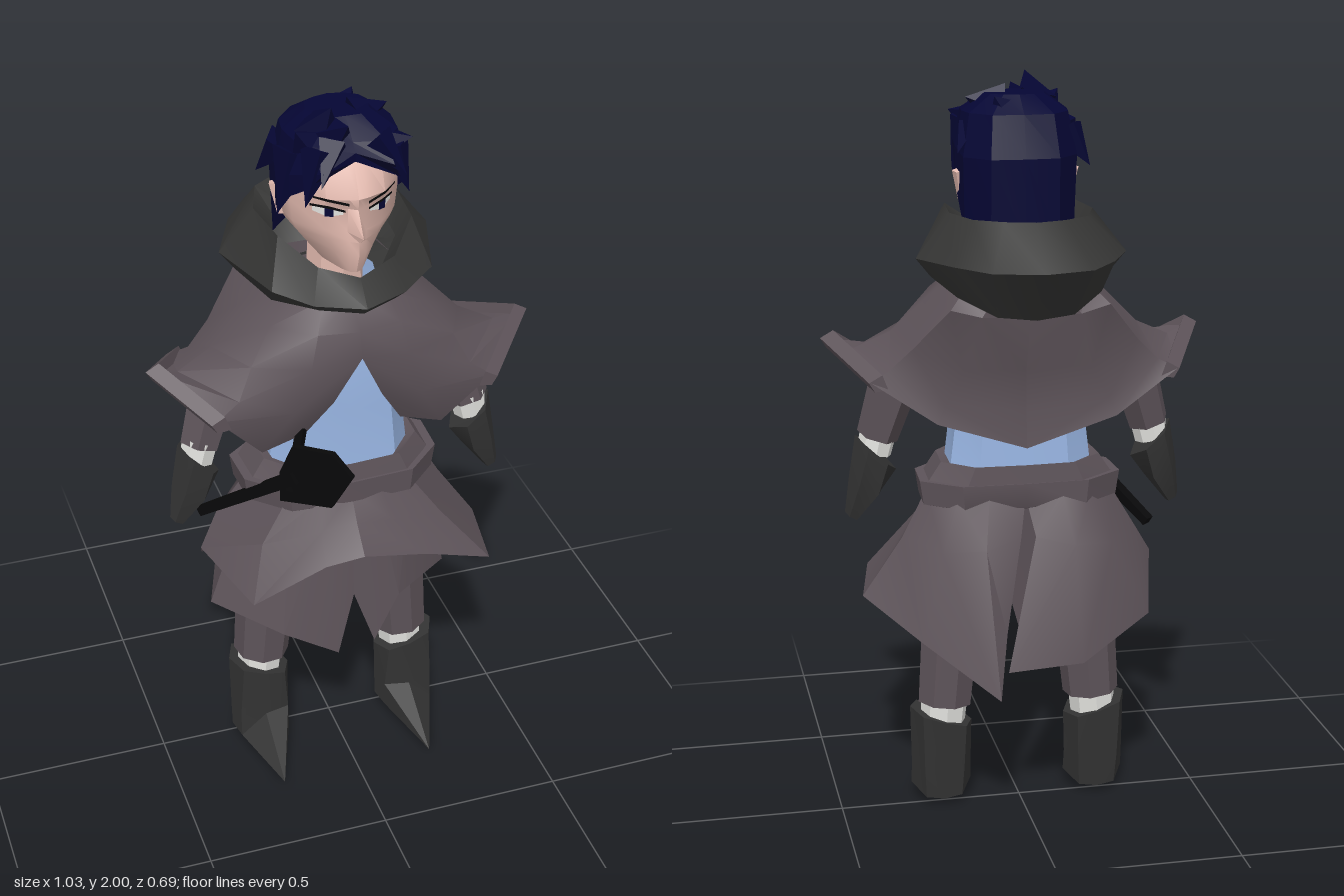
import * as THREE from 'three';
import { toCreasedNormals } from 'three/addons/utils/BufferGeometryUtils.js';

const mat = (name, color) => {
  const m = new THREE.MeshStandardMaterial({ color, side: THREE.DoubleSide });
  m.name = name;
  return m;
};

// Full loop from a half loop running front centre -> left side -> back centre
const sym = (half) => [...half, ...half.slice(1, -1).reverse().map(([x, y, z]) => [-x, y, z])];
// Half loop at one height from [x, z] pairs
const level = (y, pts) => pts.map(([x, z]) => [x, y, z]);
const flip = (pts) => pts.map(([x, y, z]) => [-x, y, z]);

// Skin over rows of points, top row first
function loft(rows, { closed = true, capTop = false, capBottom = false, crease = 0.55 } = {}) {
  const n = rows[0].length, pos = [];
  const tri = (a, b, c) => pos.push(...a, ...b, ...c);
  for (let r = 0; r < rows.length - 1; r++) {
    for (let i = 0; i < (closed ? n : n - 1); i++) {
      const j = (i + 1) % n;
      tri(rows[r][i], rows[r + 1][i], rows[r + 1][j]);
      tri(rows[r][i], rows[r + 1][j], rows[r][j]);
    }
  }
  const cap = (row, up) => {
    const c = [0, 1, 2].map((k) => row.reduce((s, p) => s + p[k], 0) / n);
    row.forEach((p, i) => {
      const q = row[(i + 1) % n];
      if (up) tri(c, p, q); else tri(c, q, p);
    });
  };
  if (capTop) cap(rows[0], true);
  if (capBottom) cap(rows[rows.length - 1], false);
  const g = new THREE.BufferGeometry();
  g.setAttribute('position', new THREE.Float32BufferAttribute(pos, 3));
  g.computeVertexNormals();
  return toCreasedNormals(g, crease);
}

// Tapered prism from p to q
function limb(p, q, r1, r2, sides = 6) {
  const a = new THREE.Vector3(...p), b = new THREE.Vector3(...q);
  const d = b.clone().sub(a);
  const g = new THREE.CylinderGeometry(r2, r1, d.length(), sides);
  g.applyQuaternion(new THREE.Quaternion().setFromUnitVectors(new THREE.Vector3(0, 1, 0), d.normalize()));
  g.translate(...a.add(b).multiplyScalar(0.5).toArray());
  return toCreasedNormals(g, 0.5);
}

export function createModel() {
  const root = new THREE.Group();
  root.name = 'cloakedFigure';
  const cloth = mat('greyCloth', 0x5d5359), fur = mat('darkFur', 0x363635), leather = mat('darkLeather', 0x333333);
  const shirt = mat('blueShirt', 0x9bb8e6), wrap = mat('paleWrap', 0xe4e4e0), skin = mat('skin', 0xe4bbb0);
  const hair = mat('navyHair', 0x050634), black = mat('black', 0x080809);
  const add = (name, geo, m) => {
    const mesh = new THREE.Mesh(geo, m);
    mesh.name = name;
    root.add(mesh);
  };

  // Head, with nose ridge, brow and chin
  const skull = [[0.14, 0.12], [0.15, 0.04], [0.1, -0.04], [0, -0.06]];
  const jaw = (w) => skull.map(([x, z]) => [x * w, z]);
  add('head', loft([
    level(1.92, [[0, 0.13], [0.02, 0.13], [0.06, 0.12], [0.08, 0.1], [0.09, 0.05], [0.06, 0], [0, -0.02]]),
    level(1.87, [[0, 0.19], [0.022, 0.19], [0.075, 0.175], ...jaw(0.94)]),
    level(1.78, [[0, 0.235], [0.022, 0.231], [0.075, 0.21], ...skull]),
    level(1.75, [[0, 0.23], [0.022, 0.215], [0.075, 0.195], ...skull]),
    level(1.69, [[0, 0.272], [0.024, 0.22], [0.07, 0.197], ...jaw(0.95)]),
    level(1.665, [[0, 0.24], [0.022, 0.224], [0.06, 0.195], ...jaw(0.87)]),
    level(1.63, [[0, 0.24], [0.022, 0.228], [0.05, 0.195], ...jaw(0.7)]),
    level(1.575, [[0, 0.22], [0.015, 0.213], [0.03, 0.19], ...jaw(0.4)]),
  ].map(sym), { capTop: true, capBottom: true, crease: 0.7 }), skin);
  add('neck', limb([0, 1.4, 0.04], [0, 1.64, 0.05], 0.08, 0.07, 8), skin);

  // Eyes, lids, brows and ears
  for (const s of [1, -1]) {
    const strip = (name, top, bottom, m) =>
      add(name, loft([top, bottom].map((r) => r.map(([x, y, z]) => [x * s, y, z])), { closed: false }), m);
    strip('eyeWhite', [[0.034, 1.745, 0.218], [0.07, 1.758, 0.205], [0.1, 1.754, 0.176]],
      [[0.034, 1.738, 0.218], [0.07, 1.731, 0.204], [0.1, 1.74, 0.175]], wrap);
    strip('iris', [[0.058, 1.757, 0.214], [0.078, 1.757, 0.204]], [[0.058, 1.733, 0.213], [0.078, 1.733, 0.203]], hair);
    strip('eyelid', [[0.03, 1.75, 0.222], [0.07, 1.763, 0.211], [0.106, 1.76, 0.175]],
      [[0.03, 1.744, 0.222], [0.07, 1.756, 0.211], [0.106, 1.754, 0.175]], black);
    strip('brow', [[0.025, 1.774, 0.236], [0.075, 1.785, 0.216], [0.115, 1.783, 0.17]],
      [[0.025, 1.767, 0.236], [0.075, 1.778, 0.216], [0.115, 1.779, 0.17]], black);
    add('ear', limb([s * 0.14, 1.68, 0.05], [s * 0.15, 1.76, 0.035], 0.012, 0.02, 5), skin);
  }

  // Hair cap and loose locks
  add('hairCap', loft([
    level(1.955, [[0, 0.13], [0.04, 0.13], [0.07, 0.1], [0.08, 0.06], [0.07, 0.02], [0.04, 0], [0, -0.01]]),
    level(1.91, [[0, 0.185], [0.08, 0.2], [0.13, 0.14], [0.14, 0.06], [0.13, 0], [0.08, -0.06], [0, -0.07]]),
    [[0, 1.89, 0.205], [0.09, 1.86, 0.235], [0.15, 1.83, 0.15], [0.158, 1.82, 0.06], [0.15, 1.8, -0.02], [0.09, 1.8, -0.09], [0, 1.8, -0.095]],
    [[0, 1.868, 0.205], [0.115, 1.81, 0.2], [0.155, 1.76, 0.13], [0.155, 1.7, 0.05], [0.145, 1.6, -0.01], [0.09, 1.59, -0.085], [0, 1.59, -0.09]],
  ].map(sym), { capTop: true, crease: 0.2 }), hair);
  [
    [[-0.07, 1.92, 0.12], [-0.05, 2, 0.17], 0.06], [[-0.09, 1.89, 0.14], [-0.14, 1.95, 0.17], 0.06],
    [[0.04, 1.92, 0.08], [0.13, 1.945, 0.06], 0.06], [[0.09, 1.88, 0.14], [0.155, 1.9, 0.18], 0.05],
    [[-0.04, 1.92, 0.15], [-0.02, 1.965, 0.21], 0.05], [[-0.08, 1.9, 0.18], [-0.13, 1.77, 0.215], 0.05],
    [[-0.05, 1.91, 0.18], [-0.1, 1.83, 0.25], 0.045], [[0.06, 1.91, 0.18], [0.12, 1.83, 0.24], 0.045],
    [[0.11, 1.88, 0.16], [0.145, 1.76, 0.19], 0.045], [[-0.12, 1.87, 0.11], [-0.175, 1.73, 0.14], 0.06],
    [[0.13, 1.82, 0.07], [0.15, 1.69, 0.08], 0.035], [[-0.13, 1.82, 0.07], [-0.16, 1.69, 0.08], 0.04],
    [[-0.13, 1.86, 0.02], [-0.185, 1.77, -0.02], 0.05], [[0.11, 1.86, 0.03], [0.165, 1.81, -0.02], 0.05],
    [[0.03, 1.9, 0], [0.07, 1.955, -0.03], 0.06],
  ].forEach(([p, q, r]) => add('hairLock', limb(p, q, r, 0, 4), hair));

  // Thick fur collar, drooping at the back
  add('furCollar', loft([
    [[0, 1.53, 0.2], [0.08, 1.56, 0.18], [0.14, 1.6, 0.11], [0.15, 1.6, 0], [0.12, 1.6, -0.07], [0.06, 1.6, -0.09], [0, 1.6, -0.1]],
    [[0, 1.575, 0.25], [0.1, 1.605, 0.22], [0.175, 1.66, 0.13], [0.19, 1.66, -0.03], [0.15, 1.66, -0.15], [0.08, 1.66, -0.2], [0, 1.66, -0.225]],
    [[0, 1.515, 0.305], [0.12, 1.515, 0.25], [0.21, 1.54, 0.19], [0.28, 1.545, -0.04], [0.21, 1.55, -0.2], [0.13, 1.55, -0.31], [0, 1.55, -0.345]],
    [[0, 1.49, 0.28], [0.1, 1.49, 0.23], [0.2, 1.495, 0.15], [0.24, 1.495, -0.03], [0.19, 1.46, -0.14], [0.1, 1.42, -0.22], [0, 1.41, -0.23]],
    level(1.47, [[0, 0.15], [0.06, 0.14], [0.1, 0.1], [0.12, 0], [0.1, -0.06], [0.06, -0.09], [0, -0.1]]),
  ].map(sym)), fur);

  // Shoulder cape, open at the front, with flared shoulders
  const capeRows = [
    [[0, 1.5, 0.2], [0.08, 1.5, 0.2], [0.15, 1.49, 0.12], [0.17, 1.49, 0], [0.15, 1.49, -0.1], [0.08, 1.48, -0.15], [0, 1.47, -0.17]],
    [[0, 1.42, 0.25], [0.11, 1.43, 0.25], [0.21, 1.43, 0.17], [0.24, 1.43, 0.03], [0.21, 1.43, -0.16], [0.13, 1.41, -0.17], [0, 1.4, -0.15]],
    [[0, 1.355, 0.27], [0.13, 1.34, 0.26], [0.27, 1.34, 0.2], [0.335, 1.335, 0.06], [0.3, 1.32, -0.1], [0.17, 1.26, -0.12], [0, 1.25, -0.1]],
    [[0.065, 1.22, 0.24], [0.17, 1.21, 0.245], [0.31, 1.26, 0.225], [0.43, 1.29, 0.08], [0.36, 1.26, -0.08], [0.22, 1.17, -0.115], [0, 1.14, -0.1]],
    [[0.13, 1.115, 0.2], [0.245, 1.08, 0.2], [0.37, 1.215, 0.23], [0.5, 1.315, 0.1], [0.41, 1.235, -0.1], [0.24, 1.12, -0.12], [0, 1.04, -0.11]],
  ];
  add('leftCape', loft(capeRows, { closed: false, crease: 0.7 }), cloth);
  add('rightCape', loft(capeRows.map(flip), { closed: false, crease: 0.7 }), cloth);

  // Shoulder rims, arms and legs, mirrored
  for (const s of [1, -1]) {
    const P = (x, y, z) => [x * s, y, z];
    add('shoulderRim', loft([[0.385, 1.21, 0.235], [0.517, 1.315, 0.1], [0.415, 1.235, -0.1]].map(([x, y, z]) =>
      [P(x, y, z), P(x - 0.035, y + 0.02, z), P(x - 0.05, y - 0.02, z), P(x - 0.015, y - 0.025, z)]),
    { capTop: true, capBottom: true }), cloth);
    add('sleeve', limb(P(0.305, 1.28, 0.035), P(0.375, 1.05, 0.06), 0.072, 0.056), cloth);
    add('wristWrap', limb(P(0.37, 1.07, 0.06), P(0.385, 1.005, 0.06), 0.05, 0.047, 8), wrap);
    add('gauntlet', loft([
      [[0.325, 0.955, 0.06], [0.355, 0.985, 0.118], [0.405, 1.03, 0.118], [0.435, 1.055, 0.06], [0.405, 1.03, 0], [0.355, 0.985, 0]],
      [[0.365, 0.9, 0.06], [0.38, 0.9, 0.11], [0.43, 0.93, 0.11], [0.455, 0.93, 0.06], [0.43, 0.93, 0.01], [0.38, 0.9, 0.01]],
      [[0.43, 0.82, 0.07], [0.435, 0.82, 0.085], [0.455, 0.83, 0.085], [0.465, 0.84, 0.07], [0.455, 0.83, 0.05], [0.435, 0.82, 0.05]],
    ].map((r) => r.map((p) => P(...p))), { capTop: true, capBottom: true }), leather);

    add('trouserLeg', limb(P(0.16, 0.86, 0.02), P(0.207, 0.295, 0.015), 0.095, 0.077, 8), cloth);
    add('ankleWrap', limb(P(0.208, 0.31, 0.012), P(0.213, 0.235, 0.012), 0.066, 0.062, 8), wrap);
    const boot = (rows) => rows.map((h) => sym(h).map(([x, y, z]) => P(0.217 + x, y + (y > 0.2 ? x * 0.3 : 0), z)));
    add('boot', loft(boot([
      level(0.255, [[0, 0.09], [0.06, 0.08], [0.086, 0.02], [0.06, -0.05], [0, -0.062]]),
      level(0.11, [[0, 0.09], [0.07, 0.075], [0.083, 0.02], [0.055, -0.04], [0, -0.045]]),
      [[0, 0, 0.265], [0.07, 0.04, 0.08], [0.084, 0.05, 0.03], [0.05, 0.025, -0.03], [0, 0.02, -0.038]],
    ]), { capTop: true, capBottom: true }), leather);
  }

  // Torso
  const body = (w, d) => [[0, 0.17 * d], [0.13 * w, 0.165 * d], [0.19 * w, 0.08], [0.19 * w, -0.02], [0.12 * w, -0.075], [0, -0.08]];
  add('torso', loft([[1.46, 0.8, 0.9], [1.3, 1.05, 1.05], [1.14, 0.9, 1], [0.95, 1.02, 1.02]]
    .map(([y, w, d]) => sym(level(y, body(w, d))))), shirt);

  // Two-band belt
  const hips = (w) => [[0, 0.2], [0.15, 0.19], [0.235, 0.1], [0.24, -0.02], [0.15, -0.095], [0, -0.1]].map(([x, z]) => [x * w, z * (0.7 + 0.3 * w)]);
  add('upperBelt', loft([[0.985, 0.8], [0.99, 0.9], [0.925, 1.08]].map(([y, w]) => sym(level(y, hips(w))))), cloth);
  add('lowerBelt', loft([[0.94, 1.04], [0.94, 1.14], [0.875, 1.1], [0.87, 1]].map(([y, w]) => sym(level(y, hips(w))))), cloth);

  // Overskirt: shared hips, an uneven hem and one long tail behind
  const waistRows = [
    level(0.9, [[0, 0.19], [0.08, 0.195], [0.17, 0.17], [0.25, 0.03], [0.18, -0.08], [0.1, -0.1], [0, -0.09]]),
    [[0, 0.83, 0.24], [0.1, 0.82, 0.24], [0.25, 0.79, 0.2], [0.32, 0.78, 0], [0.23, 0.77, -0.13], [0.12, 0.78, -0.165], [0.02, 0.8, -0.13]],
  ];
  const leftHem = [[0, 0.765, 0.305], [0.19, 0.71, 0.275], [0.385, 0.63, 0.24], [0.43, 0.62, 0], [0.29, 0.53, -0.16], [0.1, 0.39, -0.26], [0.07, 0.55, -0.19]];
  const rightHem = [[0, 0.765, 0.305], [-0.1, 0.74, 0.285], [-0.29, 0.63, 0.245], [-0.375, 0.69, 0.03], [-0.335, 0.56, -0.125], [-0.13, 0.47, -0.23], [0.07, 0.45, -0.21]];
  add('leftOverskirt', loft([...waistRows, leftHem], { closed: false, crease: 0.7 }), cloth);
  add('rightOverskirt', loft([...waistRows.map(flip), rightHem], { closed: false, crease: 0.7 }), cloth);

  // Ragged underskirt panels
  const lining = [[0, 0.82, 0.2], [0.08, 0.82, 0.2], [0.17, 0.82, 0.17], [0.26, 0.82, 0.06], [0.22, 0.82, -0.08]];
  const leftRag = [[0, 0.58, 0.22], [0.055, 0.42, 0.235], [0.13, 0.55, 0.22], [0.31, 0.53, 0.08], [0.28, 0.56, -0.1]];
  const rightRag = [[0, 0.58, 0.22], [-0.05, 0.405, 0.24], [-0.2, 0.49, 0.22], [-0.365, 0.54, 0.08], [-0.3, 0.56, -0.1]];
  add('leftUnderskirt', loft([lining, leftRag], { closed: false }), cloth);
  add('rightUnderskirt', loft([flip(lining), rightRag], { closed: false }), cloth);

  // Sword at the right hip: scabbard, grip and broad guard plate
  add('scabbard', limb([-0.16, 1, 0.22], [-0.36, 0.785, -0.01], 0.024, 0.018, 4), black);
  add('grip', limb([-0.17, 0.95, 0.2], [-0.14, 1.14, 0.2], 0.016, 0.016, 5), black);
  const guard = [[-0.045, 1.05], [-0.085, 1.105], [-0.165, 1.09], [-0.19, 1], [-0.19, 0.91], [-0.085, 0.94]];
  const face = (o) => guard.map(([x, y]) => [x - o, y, 0.34 + (x + 0.045) * 1.1 + o]);
  add('guard', loft([face(0.006), face(-0.006)], { capTop: true, capBottom: true }), black);
  return root;
}
